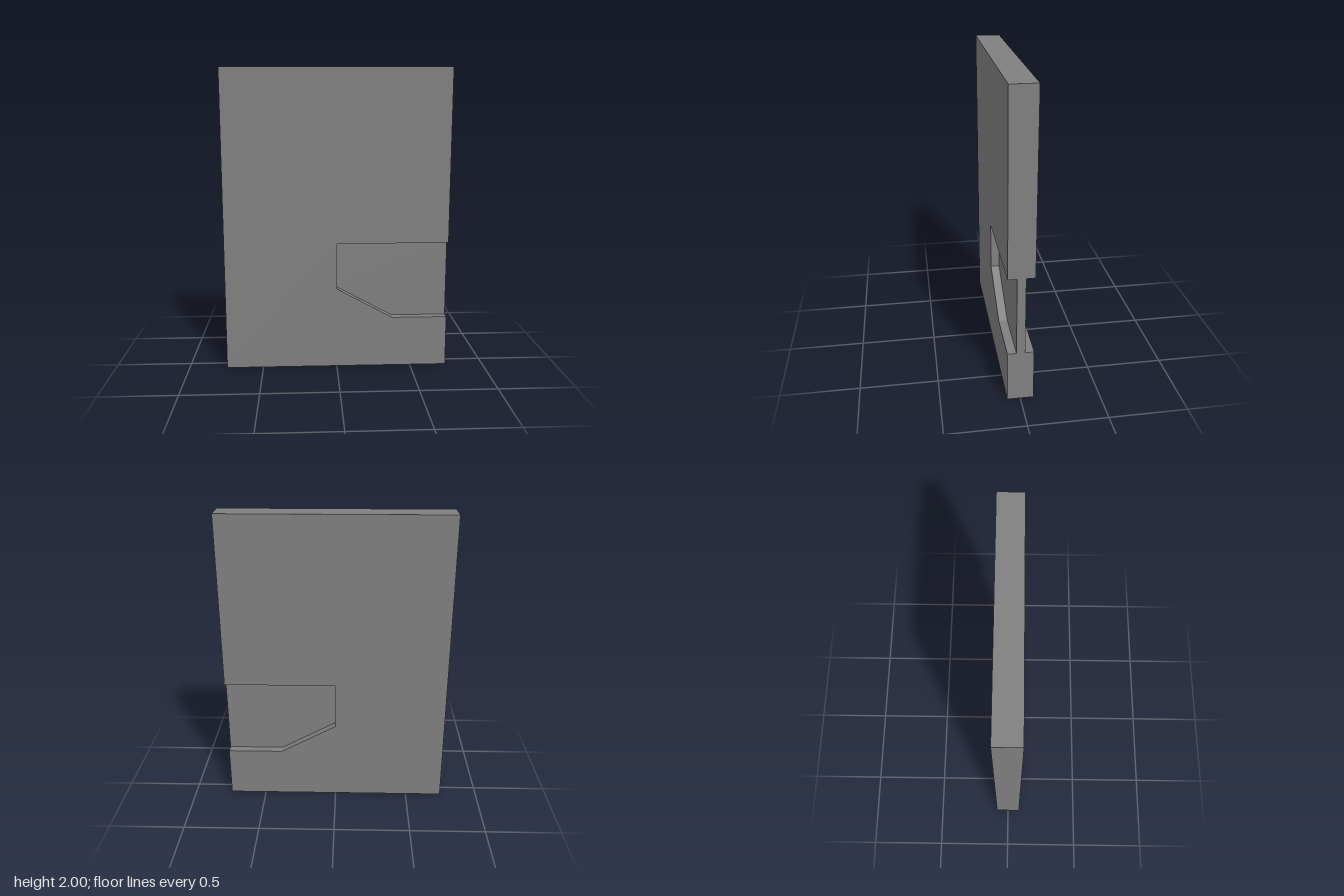
import * as THREE from 'three';

export function createModel() {
  const group = new THREE.Group();
  const grey = new THREE.MeshStandardMaterial({ color: 0x808080 });
  grey.name = 'grey';

  const halfWidth = 0.745, height = 2, thickness = 0.166, webThickness = 0.054;
  // Recess outline, from the lower edge end round to the upper edge end
  const recess = [[halfWidth, 0.34], [0.375, 0.34], [0, 0.545], [0, 0.855], [halfWidth, 0.855]];

  // Extrudes an outline symmetrically about z = 0
  function plate(name, points, depth) {
    const shape = new THREE.Shape(points.map(([x, y]) => new THREE.Vector2(x, y)));
    const geometry = new THREE.ExtrudeGeometry(shape, { depth, bevelEnabled: false });
    geometry.translate(0, 0, -depth / 2);
    const mesh = new THREE.Mesh(geometry, grey);
    mesh.name = name;
    group.add(mesh);
  }

  // Thick slab with the notch cut in from its side edge
  plate('panel', [[-halfWidth, 0], [halfWidth, 0], ...recess, [halfWidth, height], [-halfWidth, height]], thickness);
  // Thin web filling the middle of the notch
  plate('recessWeb', recess, webThickness);

  return group;
}
